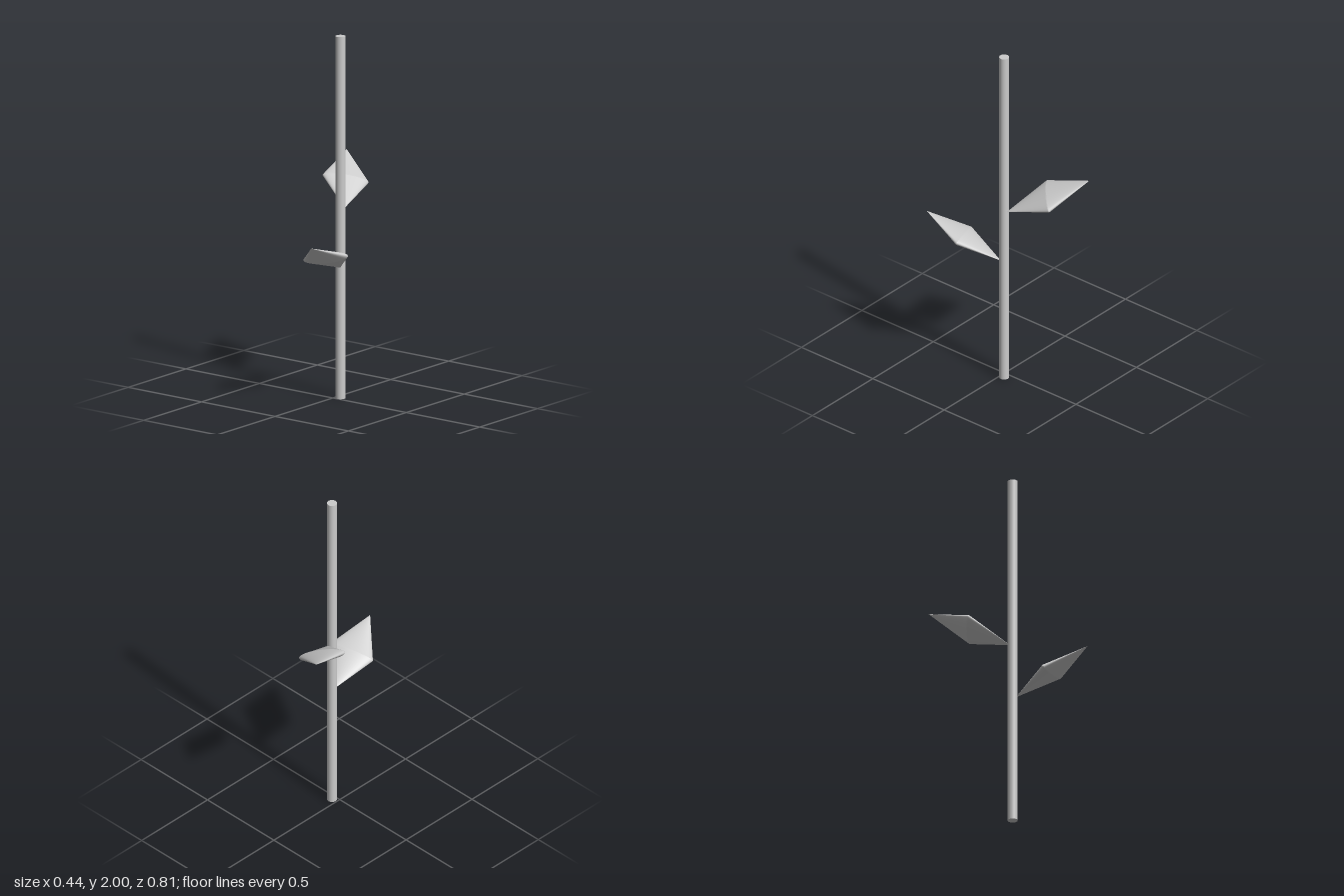
import * as THREE from 'three';

const material = new THREE.MeshStandardMaterial({ color: 0xcccccc });
const WIDTH = 0.125, THICKNESS = 0.03, RIM = 0.005;

// Flattened double cone running from base to tip; side points towards one corner
function makeLeaf(name, base, tip, side) {
  const start = new THREE.Vector3(...base);
  const end = new THREE.Vector3(...tip);
  const axis = end.clone().sub(start);
  const half = axis.length() / 2;
  axis.normalize();
  const normal = new THREE.Vector3(...side).cross(axis).normalize();
  const across = axis.clone().cross(normal);

  const leaf = new THREE.Group();
  leaf.name = name;
  const add = (part, geometry) => {
    const mesh = new THREE.Mesh(geometry, material);
    mesh.name = part;
    leaf.add(mesh);
  };
  const height = half - RIM / 2;
  const offset = RIM / 2 + height / 2;
  add('leafTip', new THREE.ConeGeometry(WIDTH, height, 40, 1, true).translate(0, offset, 0));
  add('leafBase', new THREE.ConeGeometry(WIDTH, height, 40, 1, true).rotateX(Math.PI).translate(0, -offset, 0));
  add('leafRim', new THREE.CylinderGeometry(WIDTH, WIDTH, RIM, 40, 1, true));

  leaf.quaternion.setFromRotationMatrix(new THREE.Matrix4().makeBasis(across, axis, normal));
  leaf.position.copy(start).add(end).multiplyScalar(0.5);
  leaf.scale.z = THICKNESS / WIDTH;
  return leaf;
}

export function createModel() {
  const model = new THREE.Group();
  model.name = 'plantStalk';

  // Straight round stem
  const stem = new THREE.Mesh(new THREE.CylinderGeometry(0.027, 0.027, 2, 32), material);
  stem.name = 'stem';
  stem.position.set(0.033, 1, -0.025);
  model.add(stem);

  // One leaf to the front, a higher one to the back
  model.add(makeLeaf('lowerLeaf', [0.042, 0.725, -0.01], [0.17, 0.935, 0.402], [0.115, 0.022, -0.044]));
  model.add(makeLeaf('upperLeaf', [0.04, 1.045, -0.05], [-0.224, 1.256, -0.404], [0.0935, -0.025, -0.08]));
  return model;
}
